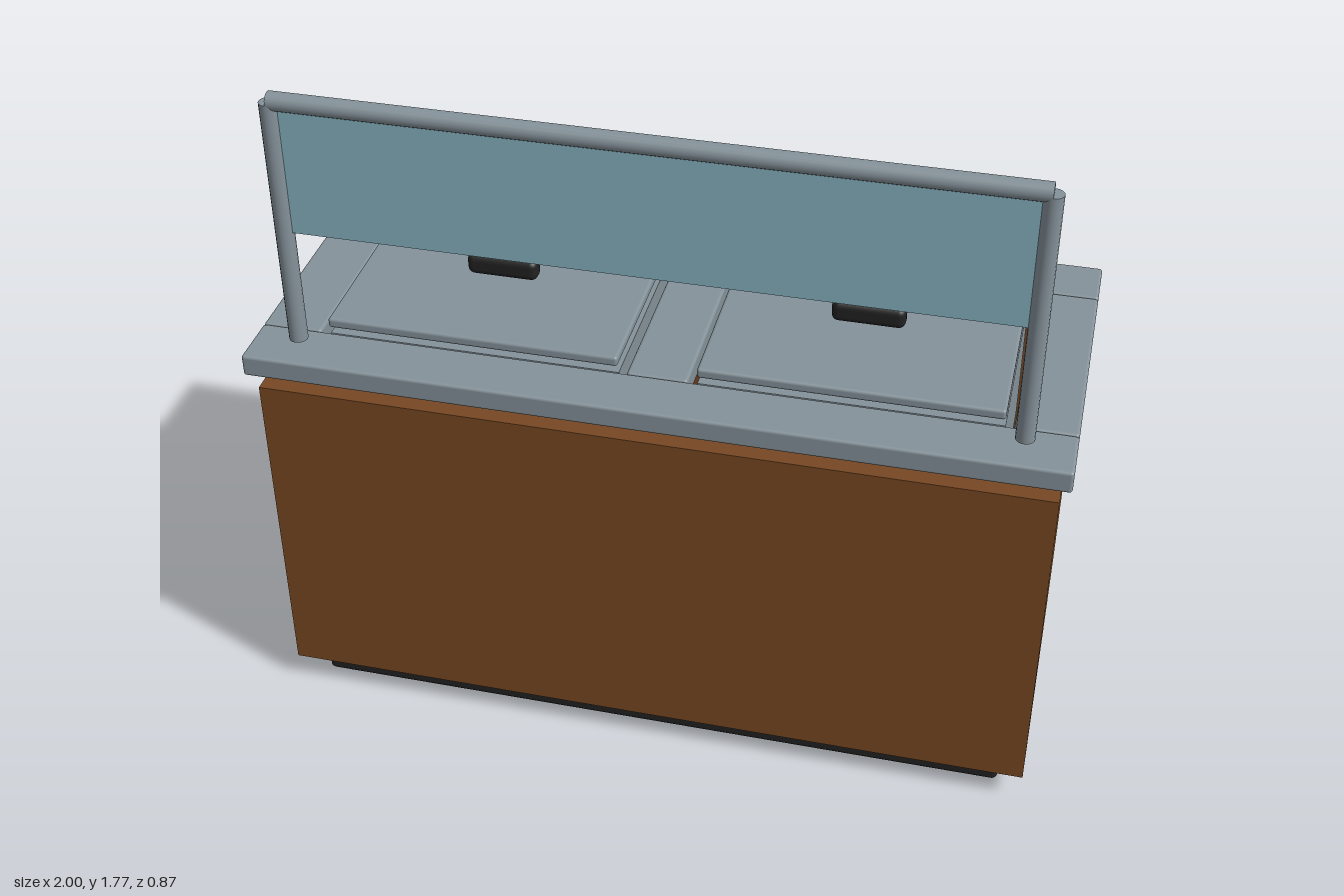
import * as THREE from 'three';
import { RoundedBoxGeometry } from 'three/addons/geometries/RoundedBoxGeometry.js';

const material = (name, color) => {
  const m = new THREE.MeshStandardMaterial({ color });
  m.name = name;
  return m;
};

export function createModel() {
  const steel = material('steel', 0x85929a);
  const wood = material('wood', 0x774823);
  const black = material('black', 0x222222);
  const glass = material('glass', 0x86b2c0);

  const model = new THREE.Group();
  model.name = 'foodCounter';

  const add = (name, geometry, mat, parent = model) => {
    const mesh = new THREE.Mesh(geometry, mat);
    mesh.name = name;
    parent.add(mesh);
    return mesh;
  };

  // Box given by its limits on each axis, with optional rounded edges
  const box = (name, mat, [x0, x1], [y0, y1], [z0, z1], radius = 0, parent = model) => {
    const size = [x1 - x0, y1 - y0, z1 - z0];
    const geometry = radius
      ? new RoundedBoxGeometry(...size, 3, radius)
      : new THREE.BoxGeometry(...size);
    const mesh = add(name, geometry, mat, parent);
    mesh.position.set((x0 + x1) / 2, (y0 + y1) / 2, (z0 + z1) / 2);
    return mesh;
  };

  // Recessed plinth
  box('plinth', black, [-0.91, 0.91], [0, 0.08], [-0.365, 0.365], 0.015);

  // Open-topped cabinet: full-depth end panels with front and back between them
  const cabinet = new THREE.Group();
  cabinet.name = 'cabinet';
  model.add(cabinet);
  const cabinetY = [0.08, 0.975];
  box('leftPanel', wood, [0.902, 0.975], cabinetY, [-0.415, 0.415], 0, cabinet);
  box('rightPanel', wood, [-0.975, -0.902], cabinetY, [-0.415, 0.415], 0, cabinet);
  box('frontPanel', wood, [-0.902, 0.902], cabinetY, [0.345, 0.415], 0, cabinet);
  box('backPanel', wood, [-0.902, 0.902], cabinetY, [-0.415, -0.345], 0, cabinet);

  // Counter frame: long rails, end bars and a centre bar
  const counter = new THREE.Group();
  counter.name = 'counter';
  model.add(counter);
  const topY = [1.022, 1.08];
  box('frontRail', steel, [-1, 1], topY, [0.292, 0.437], 0.008, counter);
  box('backRail', steel, [-1, 1], topY, [-0.437, -0.292], 0.008, counter);
  box('leftBar', steel, [0.85, 1], topY, [-0.292, 0.292], 0.008, counter);
  box('rightBar', steel, [-1, -0.85], topY, [-0.292, 0.292], 0.008, counter);
  box('centreBar', steel, [-0.075, 0.075], topY, [-0.292, 0.292], 0.008, counter);

  // Two food wells, each with a lid and a handle
  for (const side of [-1, 1]) {
    const well = new THREE.Group();
    well.name = side > 0 ? 'leftWell' : 'rightWell';
    well.position.x = side * 0.463;
    model.add(well);
    const wallY = [0.7, 1.07];
    for (const s of [-1, 1]) {
      const wall = box('wellEnd', steel, [-0.0125, 0.0125], wallY, [-0.28, 0.28], 0, well);
      wall.position.x = s * 0.354;
      const long = box('wellSide', steel, [-0.3415, 0.3415], wallY, [-0.0125, 0.0125], 0, well);
      long.position.z = s * 0.2675;
    }
    box('wellFloor', steel, [-0.3415, 0.3415], [0.7, 0.725], [-0.255, 0.255], 0, well);
    box('lid', steel, [-0.366, 0.366], [1.093, 1.12], [-0.292, 0.292], 0.008, well);
    box('handle', black, [-0.091, 0.091], [1.128, 1.185], [-0.012, 0.036], 0.018, well);
  }

  // Sneeze guard: two posts, a top rail and a glass pane
  const guard = new THREE.Group();
  guard.name = 'sneezeGuard';
  guard.position.z = 0.357;
  model.add(guard);
  for (const side of [-1, 1]) {
    const post = add('post', new THREE.CylinderGeometry(0.023, 0.023, 0.645, 16), steel, guard);
    post.position.set(side * 0.879, 1.4225, 0);
  }
  const rail = add('topRail', new THREE.CylinderGeometry(0.023, 0.023, 1.758, 16), steel, guard);
  rail.rotation.z = Math.PI / 2;
  rail.position.y = 1.748;
  box('glassPane', glass, [-0.86, 0.86], [1.405, 1.735], [-0.006, 0.006], 0, guard);

  return model;
}
